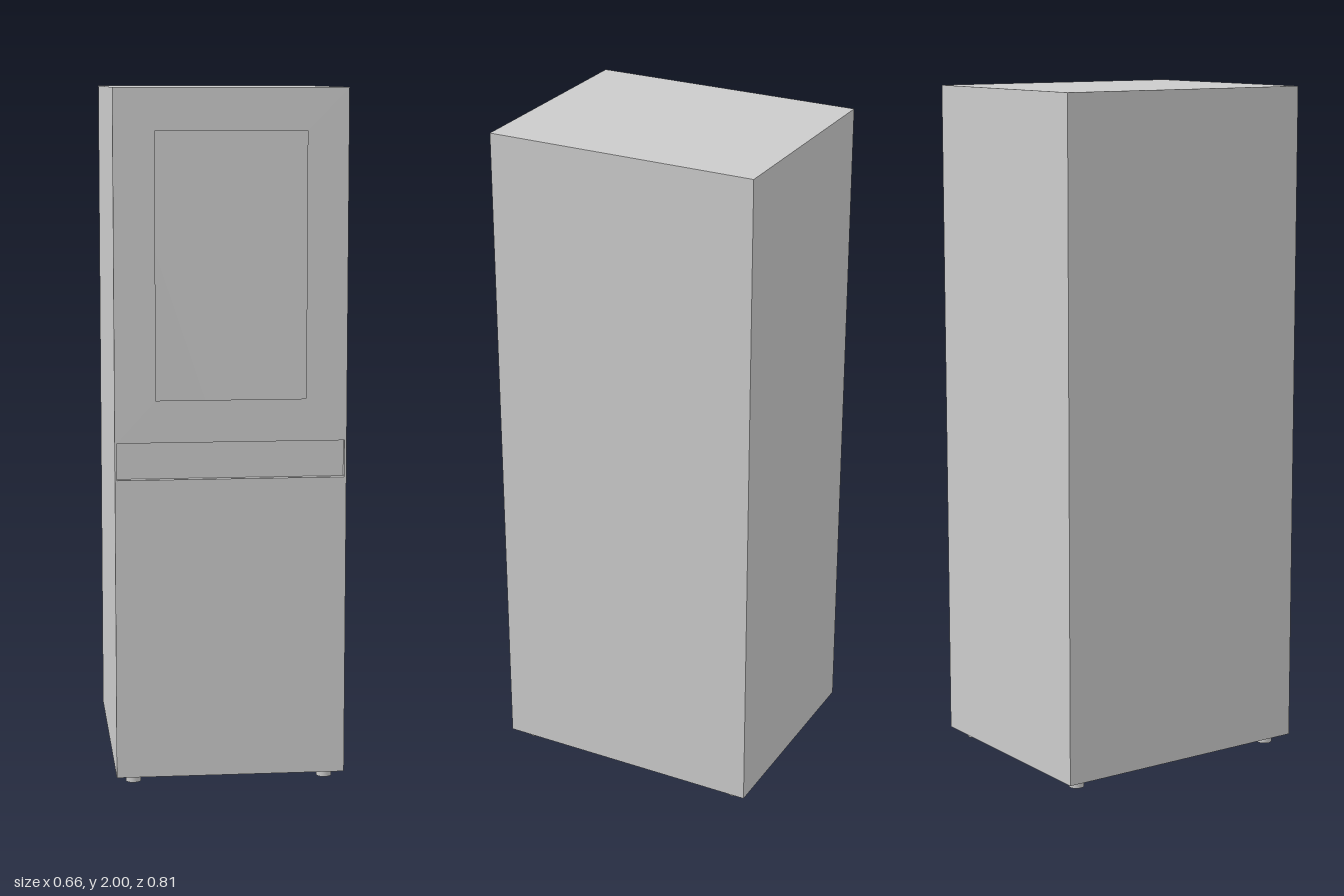
import * as THREE from 'three';

const W = 0.662, D = 0.812, Y0 = 0.026, Y1 = 2;
const material = new THREE.MeshStandardMaterial({ color: 0xcccccc, side: THREE.DoubleSide });

function rectangle(Type, x0, y0, x1, y1) {
  return new Type([[x0, y0], [x1, y0], [x1, y1], [x0, y1]].map(([x, y]) => new THREE.Vector2(x, y)));
}

export function createModel() {
  const model = new THREE.Group();
  const add = (parent, name, geometry, position = [0, 0, 0], rotation = [0, 0, 0]) => {
    const mesh = new THREE.Mesh(geometry, material);
    mesh.name = name;
    mesh.position.set(...position);
    mesh.rotation.set(...rotation);
    parent.add(mesh);
    return mesh;
  };
  const q = Math.PI / 2, H = Y1 - Y0, yMid = (Y0 + Y1) / 2;

  // Hollow sheet cabinet
  const cabinet = new THREE.Group();
  cabinet.name = 'cabinet';
  model.add(cabinet);
  add(cabinet, 'backPanel', new THREE.PlaneGeometry(W, H), [0, yMid, -D / 2], [0, Math.PI, 0]);
  for (const s of [-1, 1]) {
    add(cabinet, s > 0 ? 'leftPanel' : 'rightPanel', new THREE.PlaneGeometry(D, H), [s * W / 2, yMid, 0], [0, s * q, 0]);
    add(cabinet, s > 0 ? 'topPanel' : 'bottomPanel', new THREE.PlaneGeometry(W, D), [0, s > 0 ? Y1 : Y0, 0], [-s * q, 0, 0]);
  }

  // Front panel with an open window and a handle slot
  const slot = { x: 0.325, y0: 0.898, y1: 1.004, depth: 0.02 };
  const front = rectangle(THREE.Shape, -W / 2, Y0, W / 2, Y1);
  front.holes.push(
    rectangle(THREE.Path, -0.214, 1.125, 0.214, 1.88),
    rectangle(THREE.Path, -slot.x, slot.y0, slot.x, slot.y1)
  );
  add(cabinet, 'frontPanel', new THREE.ShapeGeometry(front), [0, 0, D / 2]);

  // Shallow recess behind the handle slot
  const recess = new THREE.Group();
  recess.name = 'handleRecess';
  model.add(recess);
  const sw = slot.x * 2, sh = slot.y1 - slot.y0, sy = (slot.y0 + slot.y1) / 2;
  const sz = D / 2 - slot.depth / 2;
  add(recess, 'recessBack', new THREE.PlaneGeometry(sw, sh), [0, sy, D / 2 - slot.depth]);
  for (const s of [-1, 1]) {
    add(recess, 'recessEnd', new THREE.PlaneGeometry(slot.depth, sh), [s * slot.x, sy, sz], [0, -s * q, 0]);
    add(recess, 'recessEdge', new THREE.PlaneGeometry(sw, slot.depth), [0, sy + s * sh / 2, sz], [s * q, 0, 0]);
  }

  // Four short round feet
  const foot = new THREE.CylinderGeometry(0.022, 0.022, Y0, 24);
  for (const x of [-0.28, 0.28])
    for (const z of [-0.35, 0.35]) add(model, 'foot', foot, [x, Y0 / 2, z]);

  return model;
}
